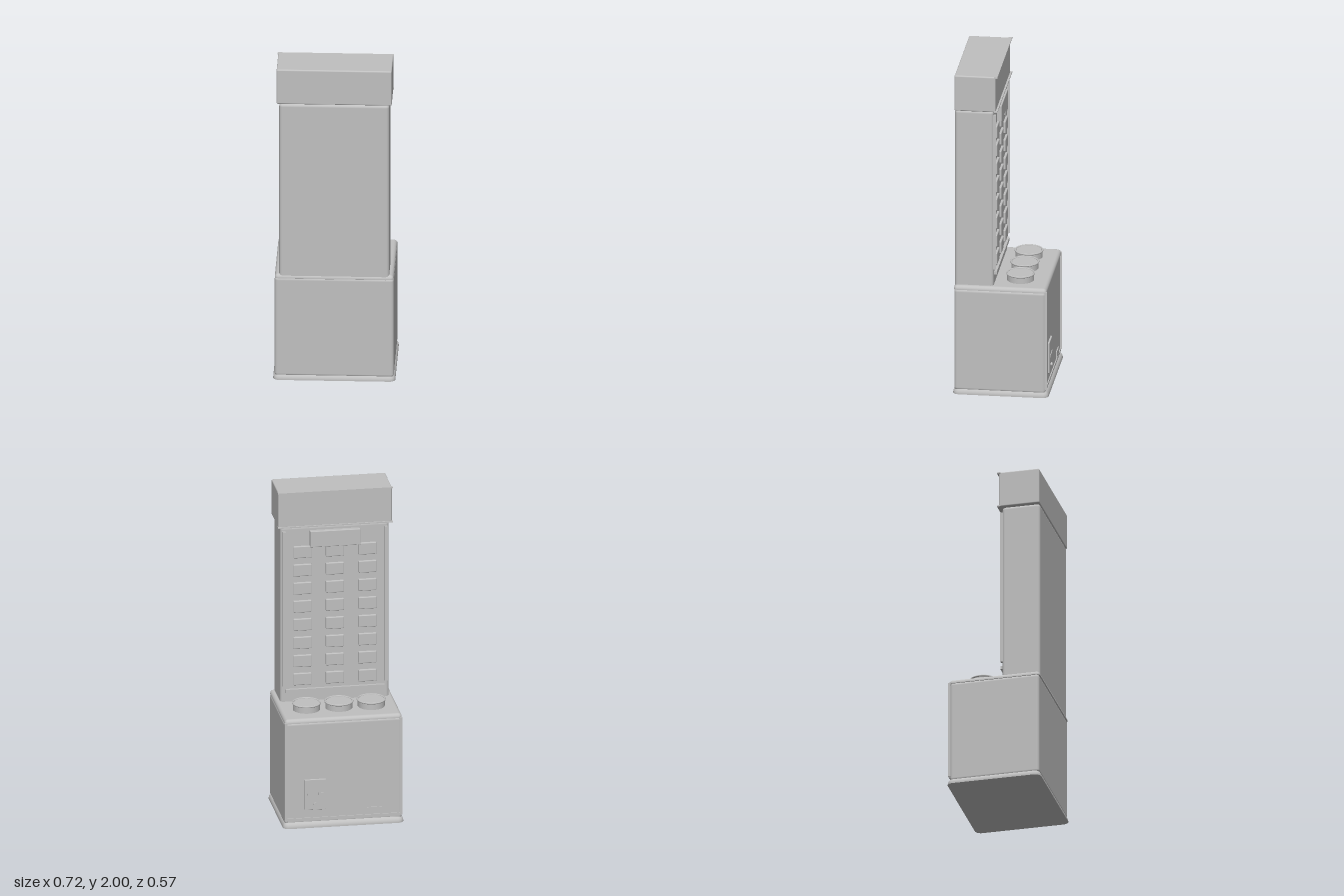
import * as THREE from 'three';
import { RoundedBoxGeometry } from 'three/addons/geometries/RoundedBoxGeometry.js';

const grey = new THREE.MeshStandardMaterial({ color: 0xc0c0c0 });
grey.name = 'plain grey';

// Flat-bottomed slab with rounded corners and a rounded top edge
function domedSlab(w, h, d) {
  const geo = new RoundedBoxGeometry(w, h * 2, d, 4, h * 0.9);
  const p = geo.attributes.position, n = geo.attributes.normal;
  for (let i = 0; i < p.count; i += 3) {
    const tri = [i, i + 1, i + 2];
    tri.forEach(k => p.setY(k, Math.max(0, p.getY(k))));
    if (tri.every(k => p.getY(k) === 0)) tri.forEach(k => n.setXYZ(k, 0, -1, 0));
  }
  return geo;
}

export function createModel() {
  const model = new THREE.Group();
  model.name = 'towerCabinet';

  const add = (name, geo, x, y, z, parent = model) => {
    const mesh = new THREE.Mesh(geo, grey);
    mesh.name = name;
    mesh.position.set(x, y, z);
    parent.add(mesh);
    return mesh;
  };
  // Box given by its limits on each axis, with optional rounded edges
  const block = (name, [x0, x1], [y0, y1], [z0, z1], r = 0) => add(name,
    r ? new RoundedBoxGeometry(x1 - x0, y1 - y0, z1 - z0, 3, r)
      : new THREE.BoxGeometry(x1 - x0, y1 - y0, z1 - z0),
    (x0 + x1) / 2, (y0 + y1) / 2, (z0 + z1) / 2);

  // Lower cabinet
  add('plinth', domedSlab(0.722, 0.04, 0.568), 0, 0, 0);
  block('lowerCabinet', [-0.352, 0.352], [0.02, 0.66], [-0.267, 0.276], 0.02);
  add('counterTop', domedSlab(0.702, 0.025, 0.553), 0, 0.655, 0.003);

  // Trim on the back of the lower cabinet
  for (const s of [-1, 1]) {
    add('cornerStrip', new THREE.BoxGeometry(0.014, 0.61, 0.016), s * 0.344, 0.355, -0.269);
  }
  block('bottomRail', [-0.337, 0.337], [0.045, 0.06], [-0.273, -0.26]);
  block('ventLabel', [-0.23, -0.14], [0.065, 0.105], [-0.273, -0.26]);

  // Control plate with two slots and a knob
  block('controlPlate', [0.105, 0.235], [0.11, 0.3], [-0.277, -0.26], 0.003);
  for (const x of [0.137, 0.203]) {
    block('slot', [x - 0.016, x + 0.016], [0.204, 0.218], [-0.281, -0.27]);
  }
  const knob = add('knob', new THREE.CylinderGeometry(0.011, 0.011, 0.02, 20), 0.17, 0.145, -0.278);
  knob.rotation.x = Math.PI / 2;

  // Upright tower
  block('tower', [-0.325, 0.325], [0.64, 1.78], [0.045, 0.275], 0.02);
  for (const s of [-1, 1]) {
    add('towerStrip', new THREE.BoxGeometry(0.02, 0.97, 0.02), s * 0.305, 1.265, 0.042);
  }
  block('towerRail', [-0.295, 0.295], [0.74, 0.76], [0.028, 0.05]);
  block('namePlate', [-0.15, 0.15], [1.65, 1.75], [0.018, 0.05], 0.004);

  // Grid of buttons on the tower back
  const buttons = new THREE.Group();
  buttons.name = 'buttons';
  model.add(buttons);
  const buttonGeo = new RoundedBoxGeometry(0.108, 0.074, 0.022, 2, 0.005);
  for (let row = 0; row < 8; row++) {
    for (const x of [-0.194, 0, 0.194]) {
      add('button', buttonGeo, x, 0.82 + row * 0.114, 0.043, buttons);
    }
  }

  // Head box with lips along its back edges
  block('head', [-0.34, 0.34], [1.778, 2], [0.03, 0.275], 0.008);
  for (const y of [1.778, 1.993]) {
    block('headLip', [-0.343, 0.343], [y, y + 0.007], [0.019, 0.04]);
  }

  // Round pads on the counter
  const padGeo = new THREE.CylinderGeometry(0.08, 0.08, 0.05, 48);
  const rimGeo = new THREE.TorusGeometry(0.0805, 0.0055, 10, 48).rotateX(Math.PI / 2);
  for (const x of [-0.194, 0, 0.194]) {
    const pad = new THREE.Group();
    pad.name = 'roundPad';
    pad.position.set(x, 0.68, -0.1);
    model.add(pad);
    add('padBody', padGeo, 0, 0.016, 0, pad);
    add('padRim', rimGeo, 0, 0.041, 0, pad);
  }
  return model;
}
